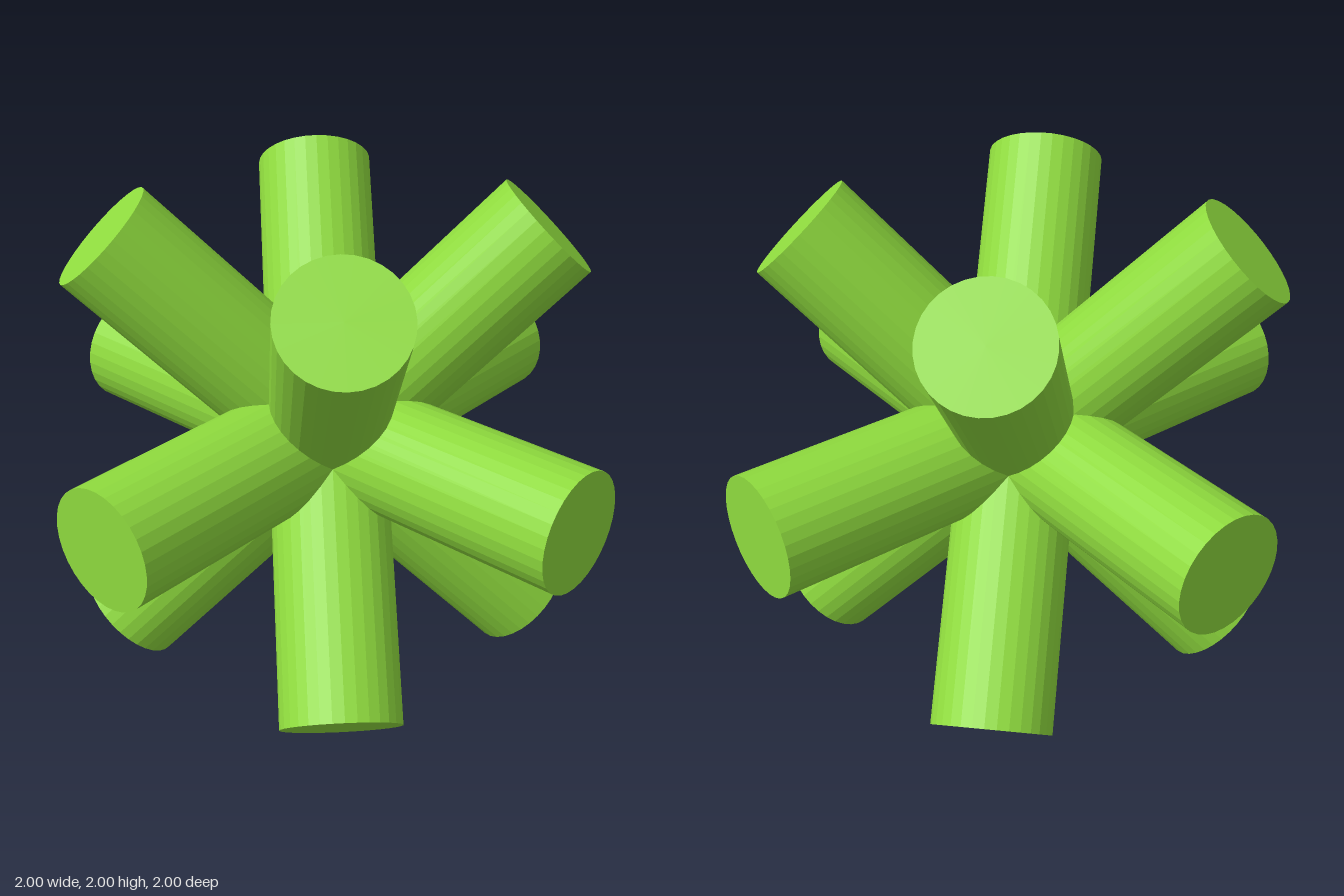
import * as THREE from 'three';

const RADIUS = 0.235;
const LENGTH = 2.36;
const SIDES = 32;

export function createModel() {
  const model = new THREE.Group();
  model.name = 'crossedRods';

  const material = new THREE.MeshStandardMaterial({ color: 0x8fdb3e, flatShading: true });
  const rodGeometry = new THREE.CylinderGeometry(RADIUS, RADIUS, LENGTH, SIDES);
  const up = new THREE.Vector3(0, 1, 0);

  // Six rods through the centre, one along each diagonal of the three main planes
  const diagonals = {
    rodFrontPlaneRising: [1, 1, 0],
    rodFrontPlaneFalling: [-1, 1, 0],
    rodSidePlaneRising: [0, 1, 1],
    rodSidePlaneFalling: [0, 1, -1],
    rodLevelPlaneRising: [1, 0, 1],
    rodLevelPlaneFalling: [1, 0, -1],
  };
  for (const [name, direction] of Object.entries(diagonals)) {
    const rod = new THREE.Mesh(rodGeometry, material);
    rod.name = name;
    rod.quaternion.setFromUnitVectors(up, new THREE.Vector3(...direction).normalize());
    rod.position.y = 1;
    model.add(rod);
  }
  return model;
}
